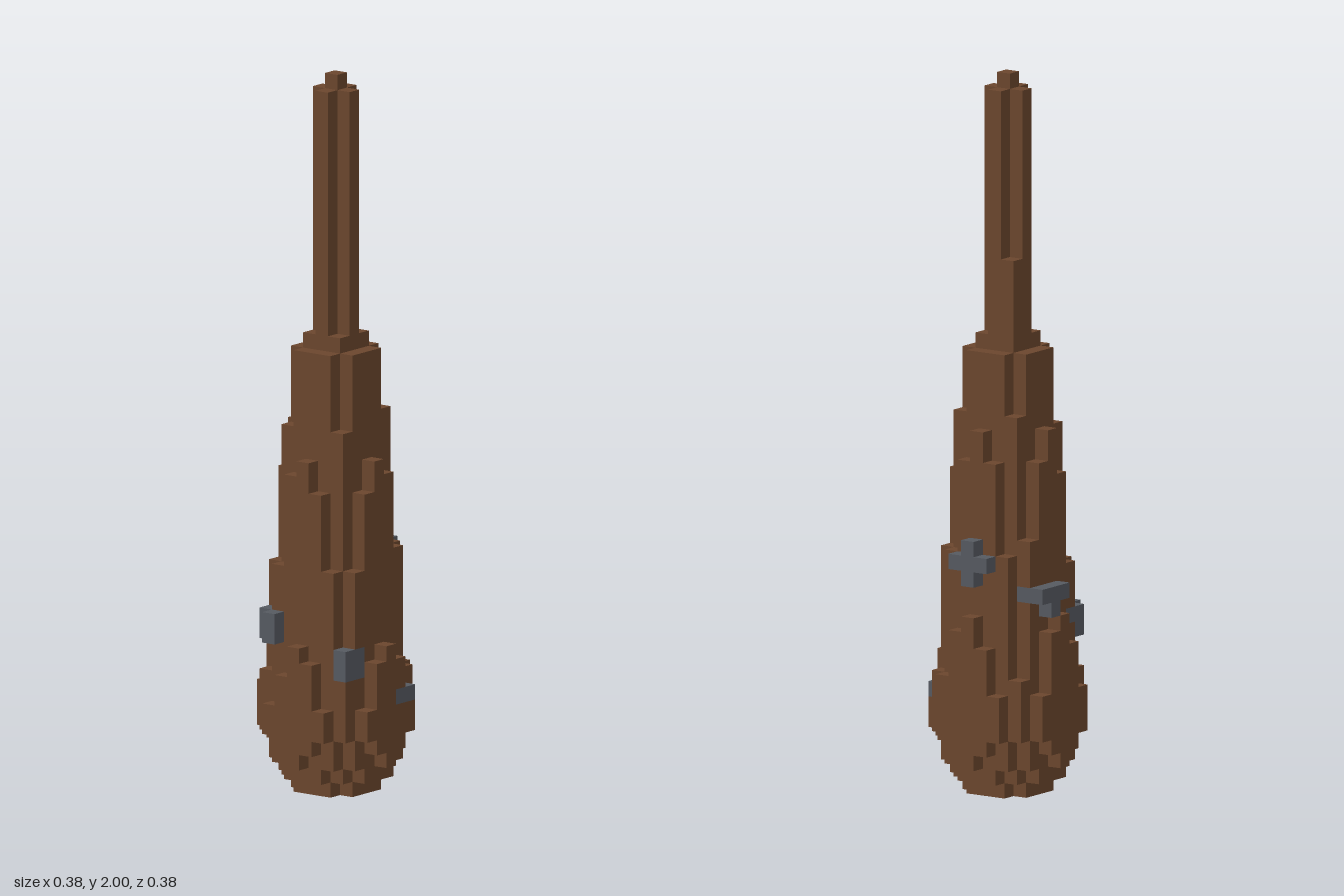
import * as THREE from 'three';

const UNIT = 2 / 47; // edge of one cube

// Column heights in cubes: rows run back to front, entries run -x to +x
const TOPS = [
  [0, 0, 7, 10, 12, 11, 7, 0, 0],
  [0, 8, 15, 21, 24, 22, 17, 8, 0],
  [6, 15, 24, 29, 29, 29, 25, 16, 7],
  [8, 21, 29, 30, 46, 35, 29, 22, 10],
  [10, 22, 29, 46, 47, 46, 29, 24, 12],
  [9, 20, 29, 30, 46, 30, 29, 22, 11],
  [6, 15, 24, 29, 29, 29, 25, 16, 8],
  [0, 8, 15, 20, 22, 21, 16, 8, 0],
  [0, 0, 6, 9, 10, 9, 6, 0, 0],
];

// Stone studs as [x, y, z] cubes
const STUDS = {
  leftStud: [[4, 14, 0], [4, 15, 0], [4, 16, 0], [4, 15, -1], [4, 15, 1]],
  backStud: [[0, 13, -4], [1, 13, -4], [2, 13, -4], [1, 12, -4], [2, 13, -3]],
  rightBackStud: [[-4, 10, -2], [-4, 11, -2], [-3, 10, -3], [-3, 11, -3], [-2, 11, -3]],
  rightFrontStud: [[-3, 8, 3], [-3, 9, 3], [-2, 8, 3], [-2, 9, 3]],
  frontStud: [[1, 6, 4], [2, 6, 4], [2, 7, 3]],
};

// The underside is rounded: outer columns start higher
function bottom(x, z) {
  const d = x * x + z * z;
  return [5, 10, 16, 17].filter((limit) => d > limit).length;
}

// Six face directions, each with two edge vectors (u x v = n)
const SIDES = [
  [[1, 0, 0], [0, 1, 0], [0, 0, 1]], [[-1, 0, 0], [0, 0, 1], [0, 1, 0]],
  [[0, 1, 0], [0, 0, 1], [1, 0, 0]], [[0, -1, 0], [1, 0, 0], [0, 0, 1]],
  [[0, 0, 1], [1, 0, 0], [0, 1, 0]], [[0, 0, -1], [0, 1, 0], [1, 0, 0]],
];

// Builds only the cube faces that are not covered by a neighbour
function cubesGeometry(cubes, filled) {
  const positions = [], normals = [], index = [];
  for (const c of cubes) {
    for (const [n, u, v] of SIDES) {
      if (filled.has(c.map((p, i) => p + n[i]).join())) continue;
      const start = positions.length / 3;
      for (const [a, b] of [[-1, -1], [1, -1], [1, 1], [-1, 1]]) {
        c.forEach((p, i) => {
          const centre = i === 1 ? p + 0.5 : p;
          positions.push((centre + (n[i] + a * u[i] + b * v[i]) / 2) * UNIT);
        });
        normals.push(...n);
      }
      index.push(start, start + 1, start + 2, start, start + 2, start + 3);
    }
  }
  const g = new THREE.BufferGeometry();
  g.setAttribute('position', new THREE.Float32BufferAttribute(positions, 3));
  g.setAttribute('normal', new THREE.Float32BufferAttribute(normals, 3));
  g.setIndex(index);
  return g;
}

export function createModel() {
  const wood = new THREE.MeshStandardMaterial({ color: 0x6b462d });
  wood.name = 'brown wood';
  const stone = new THREE.MeshStandardMaterial({ color: 0x565a61 });
  stone.name = 'grey stone';

  const filled = new Set(Object.values(STUDS).flat().map((c) => c.join()));
  const parts = { clubHead: [], handle: [] };

  // Wooden columns, leaving room for the studs
  TOPS.forEach((row, r) => row.forEach((top, k) => {
    const x = k - 4, z = r - 4;
    for (let y = bottom(x, z); y < top; y++) {
      const key = [x, y, z].join();
      if (filled.has(key)) continue;
      filled.add(key);
      parts[y < 29 ? 'clubHead' : 'handle'].push([x, y, z]);
    }
  }));

  const model = new THREE.Group();
  model.name = 'club';
  const add = (name, cubes, material) => {
    const mesh = new THREE.Mesh(cubesGeometry(cubes, filled), material);
    mesh.name = name;
    model.add(mesh);
  };
  for (const [name, cubes] of Object.entries(parts)) add(name, cubes, wood);
  for (const [name, cubes] of Object.entries(STUDS)) add(name, cubes, stone);
  return model;
}
